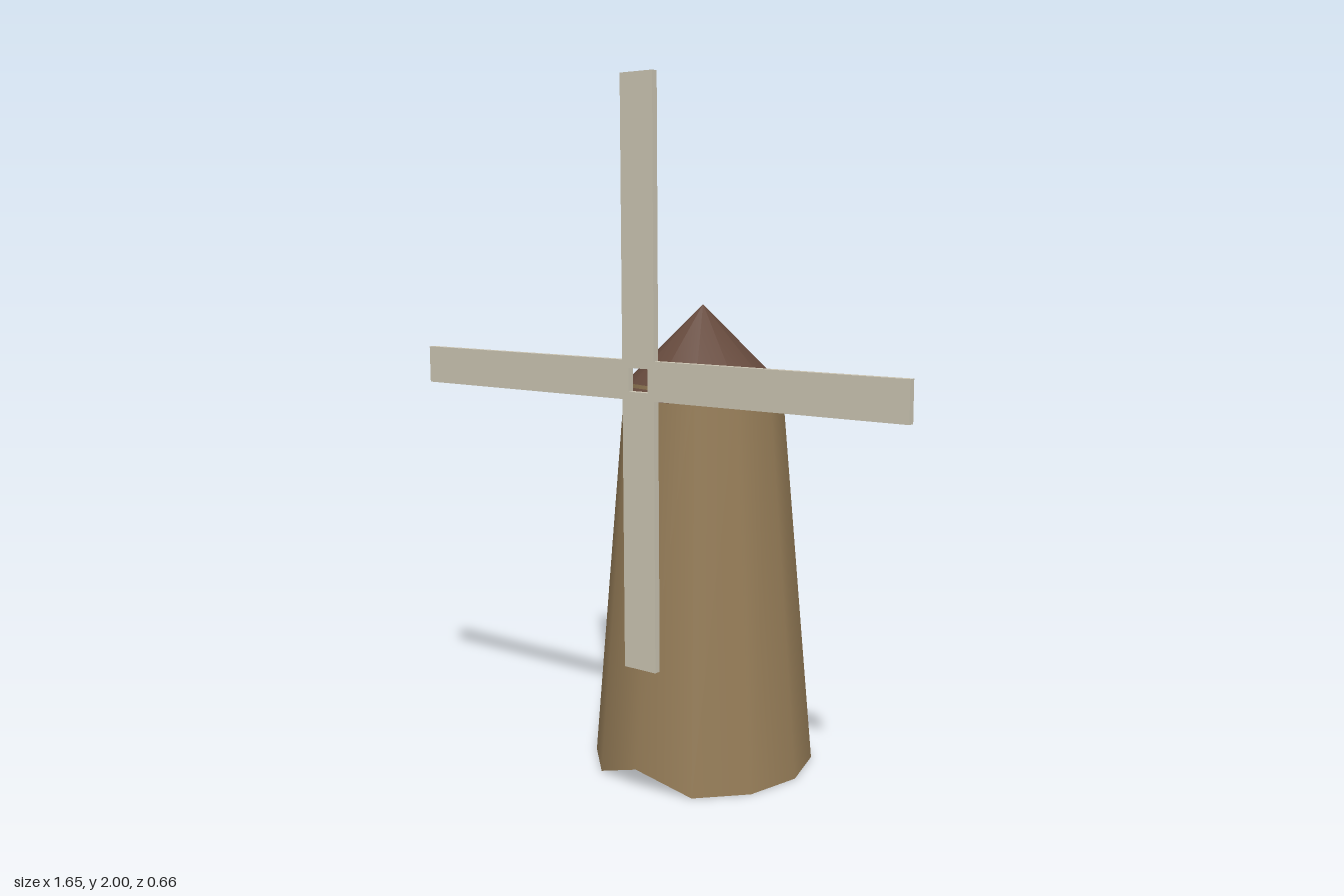
import * as THREE from 'three';

const SIDES = 12;

function material(name, color, side = THREE.FrontSide) {
  const m = new THREE.MeshStandardMaterial({ color, side });
  m.name = name;
  return m;
}

export function createModel() {
  const group = new THREE.Group();
  group.name = 'windmill';
  const stone = material('tan stone', 0x967d58, THREE.DoubleSide);
  const shingle = material('brown shingle', 0x664a3d, THREE.DoubleSide);
  const wood = material('pale wood', 0xcac4b2);

  const add = (name, geometry, mat, y = 0, z = 0) => {
    const mesh = new THREE.Mesh(geometry, mat);
    mesh.name = name;
    mesh.position.set(0, y, z);
    group.add(mesh);
  };
  // Flat twelve-sided plate facing down
  const plate = (r) => new THREE.CircleGeometry(r, SIDES).rotateX(Math.PI / 2);

  // Tapered tower wall, with a small notch at the bottom of the front corner
  const wallHeight = 1.15;
  const wall = new THREE.CylinderGeometry(0.232, 0.33, wallHeight, SIDES, 1, true);
  wall.translate(0, wallHeight / 2, 0);
  const p = wall.attributes.position;
  for (let i = 0; i < p.count; i++) {
    if (p.getY(i) < 0.01 && p.getZ(i) > 0.32) p.setY(i, 0.06);
  }
  add('towerWall', wall, stone);
  add('towerFloor', plate(0.324), stone, 0.06);

  // Conical roof overhanging the wall, with a recessed underside
  const roof = new THREE.ConeGeometry(0.262, 0.262, SIDES, 1, true);
  add('roof', roof, shingle, 1.11 + 0.131);
  add('roofUnderside', plate(0.215), shingle, 1.154);

  // Cross-shaped sails with a square hole at the hub
  const half = 0.055, reach = 0.825, hole = 0.033;
  const cross = new THREE.Shape();
  for (let i = 0; i < 4; i++) {
    const c = Math.round(Math.cos(i * Math.PI / 2));
    const s = Math.round(Math.sin(i * Math.PI / 2));
    for (const [u, v] of [[reach, -half], [reach, half], [half, half]]) {
      const x = u * c - v * s, y = u * s + v * c;
      if (cross.curves.length === 0 && i === 0 && v < 0) cross.moveTo(x, y);
      else cross.lineTo(x, y);
    }
  }
  cross.closePath();
  cross.holes.push(new THREE.Path([
    new THREE.Vector2(-hole, -hole), new THREE.Vector2(-hole, hole),
    new THREE.Vector2(hole, hole), new THREE.Vector2(hole, -hole),
  ]));
  const sails = new THREE.ExtrudeGeometry(cross, { depth: 0.02, bevelEnabled: false });
  add('sails', sails, wood, 1.175, 0.287);

  return group;
}
